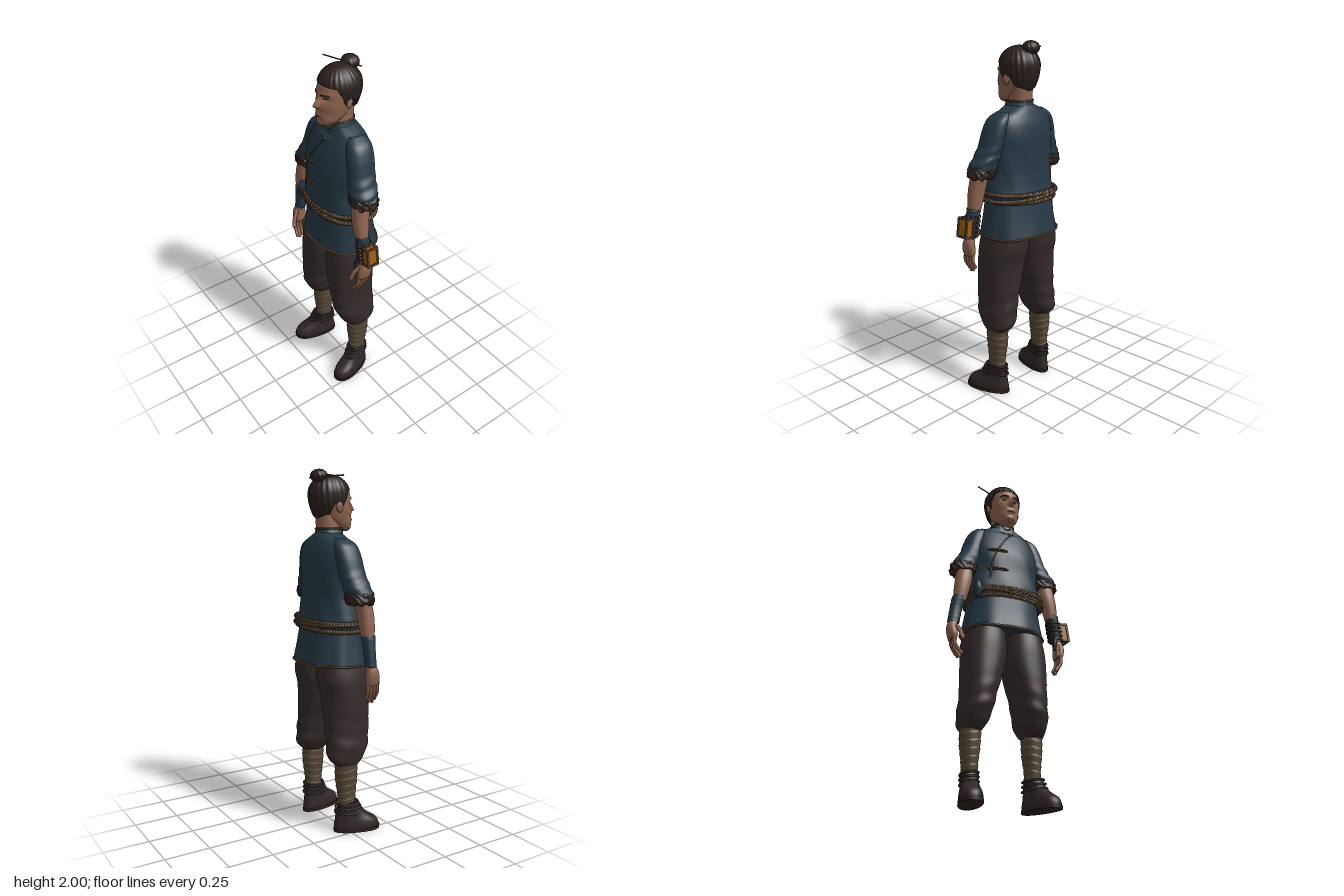
import * as THREE from 'three';

const M = {};
for (const [n, c] of Object.entries({
  shirt: 0x263844, skin: 0x8f6550, hair: 0x2a201d, trousers: 0x342b2a, leather: 0x2d211e,
  wraps: 0x564836, rope: 0x5a432b, amber: 0x9a5c18, shoe: 0x2f2625, lips: 0x75493d,
})) { M[n] = new THREE.MeshStandardMaterial({ color: c, side: THREE.DoubleSide }); M[n].name = n; }

const V = (x, y, z) => new THREE.Vector3(x, y, z);
const bell = (x, y, sx, sy) => Math.exp(-((x / sx) ** 2) - (y / sy) ** 2);
const spow = (v, e) => Math.sign(v) * Math.abs(v) ** e;
const clamp = THREE.MathUtils.clamp, lerp = THREE.MathUtils.lerp;

function add(parent, name, geo, mat, pos) {
  const m = new THREE.Mesh(geo, mat);
  m.name = name;
  if (pos) m.position.set(...pos);
  parent.add(m);
  return m;
}

// Ring [y, centre x, half width, front z, back z] interpolated smoothly along the list
function ringAt(rings, t) {
  const i = Math.min(Math.floor(t), rings.length - 2), k = t - i;
  const g = j => rings[clamp(j, 0, rings.length - 1)];
  return g(i).map((b, n) => {
    const a = g(i - 1)[n], c = g(i + 1)[n], d = g(i + 2)[n];
    return b + 0.5 * k * (c - a + k * (2 * a - 5 * b + 4 * c - d + k * (3 * (b - c) + d - a)));
  });
}
function ringAtY(rings, y) {
  let lo = 0, hi = rings.length - 1;
  for (let i = 0; i < 30; i++) { const m = (lo + hi) / 2; if (ringAt(rings, m)[0] < y) lo = m; else hi = m; }
  return ringAt(rings, lo);
}
function frontZ(rings, x, y, p = 2.3) {
  const [, cx, rx, f, b] = ringAtY(rings, y);
  const u = Math.min(1, Math.abs((x - cx) / rx));
  return (f + b) / 2 + (f - b) / 2 * (1 - u ** p) ** (1 / p);
}

// Closed skin through rings listed from bottom to top
function loft(rings, { seg = 36, rows = 5, p = 2.3, warp, side = 1 } = {}) {
  const pos = [], idx = [], n = (rings.length - 1) * rows;
  for (let i = 0; i <= n; i++) {
    const [y, x, rx, f, b] = ringAt(rings, i / rows);
    const cx = x * side, cz = (f + b) / 2;
    for (let j = 0; j < seg; j++) {
      const a = j / seg * Math.PI * 2;
      const v = V(cx + rx * spow(Math.sin(a), 2 / p), y, cz + (f - b) / 2 * spow(Math.cos(a), 2 / p));
      if (warp) warp(v, a, y, cx, cz);
      pos.push(v.x, v.y, v.z);
      if (i < n) {
        const A = i * seg + j, B = i * seg + (j + 1) % seg;
        idx.push(A, B, B + seg, A, B + seg, A + seg);
      }
    }
  }
  for (const row of [0, n]) {
    const s = pos.length / 3, c = V(0, 0, 0);
    for (let j = 0; j < seg; j++) {
      const q = V(...pos.slice((row * seg + j) * 3, (row * seg + j) * 3 + 3));
      pos.push(q.x, q.y, q.z);
      c.addScaledVector(q, 1 / seg);
    }
    pos.push(c.x, c.y, c.z);
    for (let j = 0; j < seg; j++) {
      const k = (j + 1) % seg;
      idx.push(s + seg, s + (row ? j : k), s + (row ? k : j));
    }
  }
  const g = new THREE.BufferGeometry();
  g.setAttribute('position', new THREE.Float32BufferAttribute(pos, 3));
  g.setIndex(idx);
  g.computeVertexNormals();
  return g;
}
const swell = (v, cx, cz, k) => { v.x = cx + (v.x - cx) * k; v.z = cz + (v.z - cz) * k; };
const tube = (pts, r, n = 24, closed = false) =>
  new THREE.TubeGeometry(new THREE.CatmullRomCurve3(pts, closed), n, r, 6, closed);
function ball(r, sx, sy, sz) { return new THREE.SphereGeometry(r, 20, 14).scale(sx, sy, sz); }
function loop(rx, rz, cz, yOf, n = 48, p = 2.3) {
  return Array.from({ length: n }, (_, i) => {
    const a = i / n * Math.PI * 2;
    return V(rx * spow(Math.sin(a), 2 / p), yOf(a), cz + rz * spow(Math.cos(a), 2 / p));
  });
}

const TORSO = [[1.15, 0, .213, .15, -.142], [1.19, 0, .222, .157, -.146], [1.24, 0, .215, .155, -.138],
  [1.32, 0, .205, .145, -.13], [1.42, 0, .208, .143, -.13], [1.5, 0, .207, .125, -.132], [1.57, 0, .195, .1, -.122],
  [1.617, 0, .165, .08, -.105], [1.645, 0, .115, .072, -.092], [1.665, 0, .07, .064, -.078]];
const HEAD = [[1.673, 0, .026, .11, .05], [1.685, 0, .046, .122, .02], [1.71, 0, .063, .127, -.01],
  [1.74, 0, .073, .128, -.05], [1.78, 0, .082, .127, -.07], [1.82, 0, .087, .121, -.09],
  [1.86, 0, .088, .117, -.1], [1.9, 0, .08, .103, -.09], [1.94, 0, .05, .05, -.06]];

// Relief of brow, eye sockets, nose, lips and chin
function relief(x, y) {
  const nose = y > 1.788 ? clamp((1.85 - y) / .062, 0, 1) * .036 + .004 * bell(0, y - 1.82, 1, .03)
    : clamp((y - 1.768) / .02, 0, 1) * .036;
  const ax = Math.abs(x);
  return nose * Math.exp(-((x / (.011 + .1 * clamp(1.83 - y, 0, .04))) ** 2)) - .013 * bell(ax - .036, y - 1.827, .019, .012)
    + .006 * bell(ax - .032, y - 1.848, .03, .009) + .01 * bell(x, y - 1.735, .024, .013)
    + .007 * bell(x, y - 1.692, .025, .012) - .005 * bell(ax - .055, y - 1.75, .018, .02);
}

function buildHead(g) {
  add(g, 'neck', loft([[1.57, 0, .07, .055, -.08], [1.64, 0, .062, .057, -.07], [1.7, 0, .06, .052, -.075],
    [1.77, 0, .06, .04, -.08]]), M.skin);
  add(g, 'head', loft(HEAD, { seg: 96, rows: 7, p: 2.2, warp: (v, a, y) => {
    if (Math.cos(a) > 0) v.z += relief(v.x, y) * Math.min(1, 3 * Math.cos(a));
  } }), M.skin);
  const face = (x, y, o) => V(x, y, frontZ(HEAD, x, y, 2.2) + relief(x, y) + o);
  for (const s of [-1, 1]) {
    add(g, 'ear', ball(1, .011, .032, .02), M.skin, [s * .094, 1.803, .003]).rotation.set(-.15, s * .25, 0);
    add(g, 'eyebrow', tube([.014, .03, .044, .058].map((x, i) => face(s * x, 1.846 + [0, .003, .004, 0][i], 0)), .0035), M.hair);
    add(g, 'eye', tube([.022, .034, .047].map((x, i) => face(s * x, 1.826 + (i % 2) * .002, 0)), .003), M.hair);
  }
  add(g, 'mouth', tube([-.024, -.01, 0, .01, .024].map(x => face(x, 1.735, -.001)), .0035), M.lips);

  // Hair combed back to a top knot, with a shaped hairline
  const line = [[0, 1.893], [.85, 1.885], [1.12, 1.845], [1.28, 1.79], [1.45, 1.822], [1.75, 1.812], [2.05, 1.76], [3.2, 1.735]];
  const lineY = a => {
    const i = line.findIndex((q, k) => k && a <= q[0]);
    const [a0, y0] = line[i - 1], [a1, y1] = line[i];
    return lerp(y0, y1, THREE.MathUtils.smoothstep(a, a0, a1));
  };
  add(g, 'hair', loft([[0, 0, 1, 1, -1], [1, 0, 1, 1, -1]], { seg: 132, rows: 30, warp: (v, a, t) => {
    const y = lerp(lineY(Math.min(a, Math.PI * 2 - a)), 1.975, Math.sin(clamp(t, 0, 1) * Math.PI / 2));
    let r = y > 1.87 ? Math.sqrt(Math.max(0, 1 - ((y - 1.87) / .1052) ** 2)) : 1 - .36 * ((1.87 - y) / .135) ** 2;
    r *= t < .01 ? .8 : 1 + .018 * Math.cos(22 * a + 5 * t);
    v.set(.106 * r * Math.sin(a), y, -.004 + .118 * r * Math.cos(a));
  } }), M.hair);
  const bun = new THREE.SphereGeometry(1, 48, 20), b = bun.attributes.position;
  for (let i = 0; i < b.count; i++) {
    const v = V().fromBufferAttribute(b, i);
    v.multiplyScalar(1 + .03 * Math.cos(12 * Math.atan2(v.x, v.z) + 4 * v.y) * Math.hypot(v.x, v.z));
    b.setXYZ(i, v.x * .049, v.y * .037, v.z * .046);
  }
  bun.computeVertexNormals();
  add(g, 'topKnot', bun, M.hair, [-.012, 1.963, -.075]);
  add(g, 'hairPin', tube([V(-.158, 1.962, -.012), V(-.05, 1.96, -.052), V(.055, 1.956, -.095)], .004), M.rope);
}

function buildShirt(g) {
  const drop = (v, a, y) => { v.y -= .045 * Math.max(0, Math.cos(a)) ** 8 * clamp((y - 1.6) / .06, 0, 1); };
  add(g, 'shirtBody', loft(TORSO, { seg: 72, warp: (v, a, y, cx, cz) => {
    swell(v, cx, cz, 1 + .012 * Math.sin(7 * a + y * 22) * clamp((1.6 - y) / .2, 0, 1));
    drop(v, a, y);
  } }), M.shirt);
  add(g, 'shirtSkirt', loft([[.95, 0, .238, .173, -.178], [1.05, 0, .222, .157, -.157], [1.17, 0, .205, .146, -.138]],
    { seg: 72, rows: 6, warp: (v, a, y, cx, cz) => swell(v, cx, cz, 1 + .015 * Math.sin(9 * a) * (1.17 - y) / .2) }), M.shirt);
  add(g, 'hemTrim', tube(loop(.239, .177, -.0025, a => .955 + .003 * Math.sin(5 * a)), .006, 120, true), M.rope);
  add(g, 'collar', loft([[1.635, 0, .088, .076, -.086], [1.66, 0, .076, .072, -.08], [1.685, 0, .068, .066, -.076]],
    { seg: 48, warp: drop }), M.shirt);
  add(g, 'collarTrim', tube(loop(.069, .071, -.005, a => 1.687 - .045 * Math.max(0, Math.cos(a)) ** 8), .005, 96, true), M.rope);

  // Overlapping front edge and its fastenings
  const on = (x, y, o) => V(x, y, frontZ(TORSO, x, y) + o);
  add(g, 'frontSeam', tube([[.02, 1.6], [-.03, 1.54], [-.08, 1.46], [-.115, 1.38], [-.135, 1.25]].map(q => on(...q, .002)), .005, 40), M.shirt);
  for (const y of [1.44, 1.315]) {
    for (const o of [-.007, .007])
      add(g, 'toggleCord', tube([-.145, -.115, -.09, -.06, -.033].map((x, i) => on(x, y + o * [.2, 1, .3, 1, .2][i], .006)), .0045), M.rope);
    add(g, 'toggleKnot', ball(.011, 1, 1, .8), M.leather, on(-.09, y, .01).toArray());
  }
  add(g, 'collarToggle', ball(.009, 1.8, 1, .8), M.rope, on(.01, 1.595, .006).toArray());

  // Twisted rope belt, three turns of two strands
  [[1.15, .222, .156, .01], [1.172, .235, .163, -.008], [1.193, .23, .16, .008]].forEach(([y, rx, rz, tilt]) => {
    for (const ph of [0, Math.PI]) {
      const pts = loop(rx, rz, .001, a => y + tilt * Math.sin(a), 264).map((q, i) => {
        const w = i / 264 * Math.PI * 2 * 33 + ph, k = 1 + .028 * Math.cos(w);
        return V(q.x * k, q.y + .006 * Math.sin(w), q.z * k);
      });
      add(g, 'ropeBelt', tube(pts, .0075, 330, true), M.rope);
    }
  });
  add(g, 'beltKnot', ball(.024, .9, 1, .8), M.rope, [-.19, 1.175, .115]);
  add(g, 'tuckedCloth', loft([[1.13, -.2, .012, .125, .1], [1.18, -.2, .02, .14, .09], [1.225, -.2, .012, .125, .1]], { seg: 16 }), M.shirt);
}

function buildArm(g, s) {
  const o = { side: s };
  add(g, 'sleeve', loft([[1.315, .255, .06, .085, -.03], [1.355, .25, .074, .095, -.045], [1.4, .228, .069, .09, -.055],
    [1.46, .203, .062, .082, -.066], [1.54, .18, .06, .075, -.075], [1.6, .16, .05, .06, -.072], [1.635, .13, .03, .03, -.05]],
  { ...o, rows: 8, warp: (v, a, y, cx, cz) => swell(v, cx, cz, 1 + .035 * Math.sin(y * 110 + 2 * Math.sin(a + s)) * clamp((1.5 - y) / .1, 0, 1)) }), M.shirt);
  // Rolled, ragged cuff
  add(g, 'rolledCuff', loft([[1.29, .256, .055, .08, -.02], [1.302, .256, .077, .097, -.04], [1.325, .254, .078, .096, -.044],
    [1.347, .25, .078, .098, -.046], [1.36, .25, .06, .085, -.03]],
  { ...o, seg: 60, warp: (v, a, y, cx, cz) => {
    swell(v, cx, cz, 1 + .05 * Math.sin(11 * a + y * 160) + .03 * Math.sin(23 * a));
    v.y += .006 * Math.sin(7 * a);
  } }), M.leather);
  add(g, 'forearm', loft([[1.1, .288, .034, .092, .026], [1.17, .277, .042, .1, .018], [1.24, .265, .047, .1, .01], [1.34, .252, .048, .085, -.01]], o), M.skin);
  add(g, 'wristBand', loft([[.962, .318, .031, .087, .03], [.975, .317, .033, .088, .028], [1.05, .306, .034, .088, .026], [1.12, .291, .038, .096, .022], [1.125, .29, .034, .09, .028]],
    { ...o, rows: 8, warp: (v, a, y, cx, cz) => swell(v, cx, cz, 1 + .02 * Math.sin(y * 230 + a)) }), M.shirt);
  add(g, 'palm', loft([[.86, .322, .018, .1, .03], [.885, .324, .025, .108, .024], [.93, .328, .028, .1, .026], [.975, .319, .025, .083, .034]], o), M.skin);
  for (let i = 0; i < 4; i++) {
    const z = .036 + i * .02, l = [.085, .105, .11, .098][i];
    const pts = [V(s * .322, .885, z), V(s * .32, .875 - l * .5, z + .006), V(s * (.298 - .004 * i), .875 - l, z + .012)];
    add(g, 'finger', tube(pts, .0095, 12), M.skin);
    add(g, 'fingertip', ball(.0095, 1, 1.2, 1), M.skin, pts[2].toArray());
  }
  const th = [V(s * .318, .945, .08), V(s * .3, .905, .112), V(s * .288, .86, .126)];
  add(g, 'thumb', tube(th, .0125, 12), M.skin);
  add(g, 'thumbTip', ball(.0125, 1, 1.2, 1), M.skin, th[2].toArray());
}

function buildLeg(g, s) {
  const o = { side: s };
  add(g, 'trouserLeg', loft([[.39, .18, .052, .06, -.065], [.42, .176, .068, .092, -.1], [.46, .17, .081, .118, -.112], [.52, .16, .088, .138, -.112],
    [.6, .149, .093, .147, -.11], [.7, .134, .11, .15, -.113], [.8, .122, .122, .15, -.118], [.88, .117, .121, .148, -.138], [.98, .11, .108, .135, -.135]],
  { ...o, seg: 48, rows: 6, warp: (v, a, y, cx, cz) =>
    swell(v, cx, cz, 1 + .026 * Math.sin(y * 62 + 2.2 * Math.sin(a * s + .6)) * bell(0, y - .5, 1, .13)) }), M.trousers);
  // Spiral cloth binding
  add(g, 'calfWrap', loft([[.15, .181, .04, .046, -.05], [.22, .181, .041, .05, -.054], [.31, .18, .05, .057, -.066], [.41, .18, .054, .06, -.066]],
    { ...o, rows: 22, warp: (v, a, y, cx, cz) => {
      const t = y * 24 + s * a / (Math.PI * 2);
      swell(v, cx, cz, .98 + .075 * (t - Math.floor(t)));
    } }), M.wraps);
  const shoe = new THREE.Group();
  shoe.name = 'shoe';
  shoe.position.set(s * .183, 0, 0);
  shoe.rotation.y = s * .26;
  g.add(shoe);
  const splay = v => { v.x *= 1 + clamp(v.z, -.1, .15) * 1.1; };
  add(shoe, 'shoeUpper', loft([[.008, 0, .054, .19, -.074], [.035, 0, .055, .188, -.075], [.062, 0, .052, .17, -.07], [.09, 0, .047, .125, -.066],
    [.12, 0, .045, .088, -.06], [.15, 0, .044, .064, -.056], [.172, 0, .042, .056, -.053]], { warp: splay }), M.shoe);
  add(shoe, 'sole', loft([[0, 0, .057, .195, -.078], [.018, 0, .057, .195, -.078]], { rows: 2, warp: splay }), M.leather);
  for (const y of [.115, .142, .166])
    add(shoe, 'ankleTie', tube(loop(.047, .12 - y * .34, .035 - y * .2, a => y + .006 * Math.sin(a)), .006, 48, true), M.shoe);
}

// Small framed case strapped to the left wrist
function buildCase(g) {
  const c = new THREE.Group();
  c.name = 'wristCase';
  c.position.set(.355, 1.03, .055);
  c.rotation.z = .14;
  g.add(c);
  const d = [.05, .1, .062];
  add(c, 'caseBody', new THREE.BoxGeometry(...d), M.amber);
  for (let ax = 0; ax < 3; ax++) for (const i of [-1, 1]) for (const j of [-1, 1]) {
    const size = [.011, .011, .011], p = [0, 0, 0], u = (ax + 1) % 3, w = (ax + 2) % 3;
    size[ax] = d[ax] + .011;
    p[u] = i * d[u] / 2; p[w] = j * d[w] / 2;
    add(c, 'caseFrame', new THREE.BoxGeometry(...size), M.rope, p);
  }
  for (const y of [.98, 1.005, 1.03, 1.055, 1.08])
    add(g, 'caseStrap', tube(loop(.038, .037, 0, a => .004 * Math.sin(9 * a), 48), .007, 72, true), M.leather, [.316 - (y - .98) * .15, y, .057]);
  add(g, 'strapEnd', tube([V(.3, .985, .09), V(.285, .94, .1), V(.29, .9, .095)], .009), M.leather);
}

export function createModel() {
  const g = new THREE.Group();
  g.name = 'figure';
  buildHead(g);
  buildShirt(g);
  for (const s of [-1, 1]) { buildArm(g, s); buildLeg(g, s); }
  buildCase(g);
  g.position.x = -.015;
  const root = new THREE.Group();
  root.name = 'standingFigure';
  root.add(g);
  return root;
}
